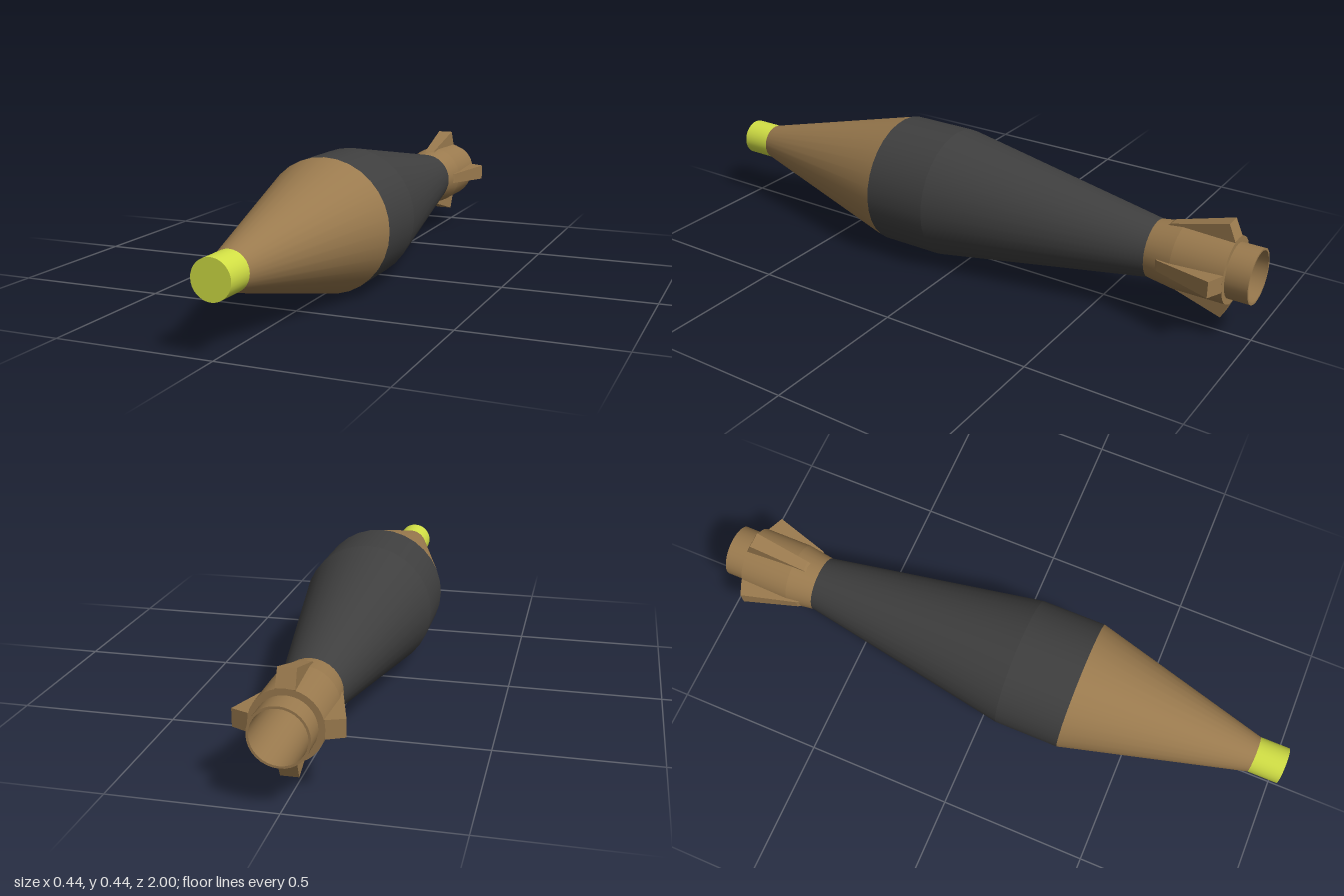
import * as THREE from 'three';
import { mergeGeometries } from 'three/addons/utils/BufferGeometryUtils.js';

const SEGMENTS = 32;
const AXIS_Y = 0.22;

const brown = new THREE.MeshStandardMaterial({ color: 0x9a7a4e });
const dark = new THREE.MeshStandardMaterial({ color: 0x3f3f3f });
const yellow = new THREE.MeshStandardMaterial({ color: 0xd2e045 });

// Turned part along z from [radius, z] pairs running back to front;
// one lathe per segment keeps the creases between segments sharp.
function turned(name, profile, material) {
  const bands = [];
  for (let i = 0; i < profile.length - 1; i++) {
    const pts = [profile[i], profile[i + 1]].map(([r, z]) => new THREE.Vector2(r, z));
    bands.push(new THREE.LatheGeometry(pts, SEGMENTS));
  }
  const geometry = mergeGeometries(bands);
  geometry.rotateX(Math.PI / 2);
  const mesh = new THREE.Mesh(geometry, material);
  mesh.name = name;
  return mesh;
}

// Wedge fin pointing up, widening towards the rear
function finGeometry() {
  const shape = new THREE.Shape();
  shape.moveTo(-0.70, 0.09);
  shape.lineTo(-0.72, 0.105);
  shape.lineTo(-0.905, 0.158);
  shape.lineTo(-0.928, 0.105);
  shape.lineTo(-0.925, 0.09);
  shape.closePath();
  const geometry = new THREE.ExtrudeGeometry(shape, { depth: 1, bevelEnabled: false });
  geometry.translate(0, 0, -0.5);
  geometry.rotateY(-Math.PI / 2);
  const p = geometry.attributes.position;
  for (let i = 0; i < p.count; i++) {
    const t = (-0.70 - p.getZ(i)) / 0.228;
    p.setX(i, p.getX(i) * (0.034 + 0.022 * t));
  }
  geometry.computeVertexNormals();
  return geometry;
}

export function createModel() {
  const model = new THREE.Group();
  model.name = 'finnedShell';

  // Nose tip and front cone
  model.add(turned('noseTip', [[0.061, 0.9], [0.061, 1], [0, 1]], yellow));
  model.add(turned('noseCone', [[0.22, 0.29], [0.061, 0.9]], brown));

  // Main body: rear taper and straight band
  model.add(turned('body', [[0.094, -0.67], [0.22, 0.07], [0.22, 0.29]], dark));

  // Tail sleeve, stepping down to a hollow pipe
  model.add(turned('tailSleeve', [
    [0.088, -0.928], [0.107, -0.928], [0.107, -0.76], [0.094, -0.67],
  ], brown));
  model.add(turned('tailPipe', [
    [0, -0.7], [0.081, -0.7], [0.081, -1], [0.088, -1], [0.088, -0.92],
  ], brown));

  // Four fins around the sleeve
  const fin = finGeometry();
  for (let i = 0; i < 4; i++) {
    const mesh = new THREE.Mesh(fin, brown);
    mesh.name = `fin${i + 1}`;
    mesh.rotation.z = i * Math.PI / 2;
    model.add(mesh);
  }

  model.children.forEach((part) => { part.position.y = AXIS_Y; });
  return model;
}
